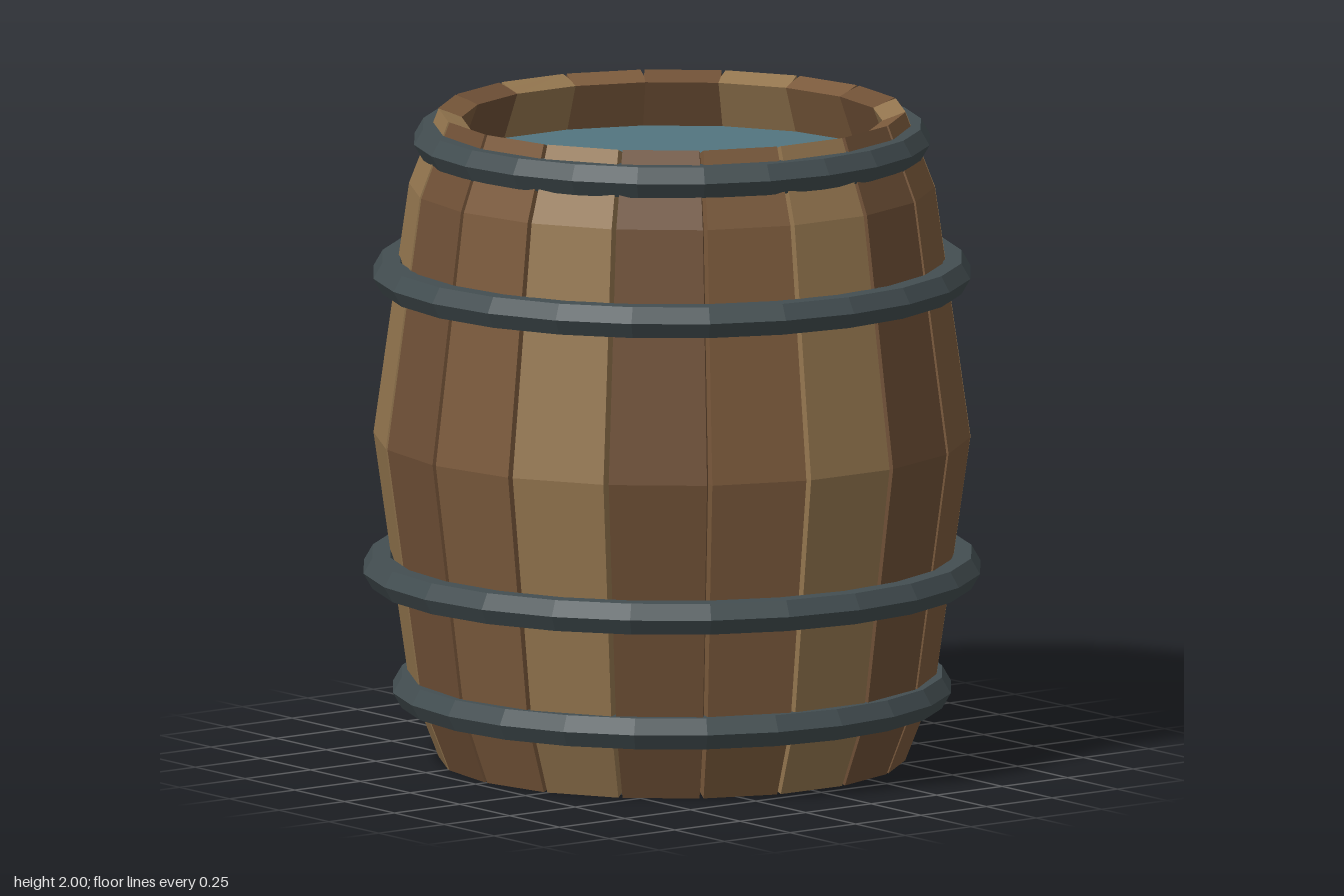
import * as THREE from 'three';

const STAVES = 18;
const HALF = Math.PI / STAVES;      // half the angle of one stave
const GAP = 0.009;                  // half the angle of the groove between staves

// Stave levels from bottom to top: outer radius, outer y, inner radius, inner y
const LOWER = [
  [0.71, 0, 0.64, 0.027],
  [0.80, 0.23, 0.725, 0.25],
];
const LEVELS = [
  ...LOWER,
  [0.908, 1, 0.83, 1],
  ...LOWER.map(([ro, yo, ri, yi]) => [ro, 2 - yo, ri, 2 - yi]).reverse(),
];

const paint = (color, extra = {}) =>
  new THREE.MeshStandardMaterial({ color, flatShading: true, ...extra });

// One bowed plank: a six-cornered section swept through the levels, capped at both ends
function staveGeometry() {
  const point = (a, r, y) => [r * Math.sin(a), y, r * Math.cos(a)];
  const rings = LEVELS.map(([ro, yo, ri, yi]) => {
    const rm = (ro + ri) / 2, ym = (yo + yi) / 2;
    return [
      point(-HALF + GAP, ro, yo), point(HALF - GAP, ro, yo),
      point(HALF, rm, ym), point(HALF, ri, yi),
      point(-HALF, ri, yi), point(-HALF, rm, ym),
    ];
  });
  const pos = [];
  const tri = (a, b, c) => pos.push(...a, ...b, ...c);
  for (let k = 0; k < rings.length - 1; k++) {
    for (let i = 0; i < 6; i++) {
      const j = (i + 1) % 6, lo = rings[k], hi = rings[k + 1];
      tri(lo[i], lo[j], hi[j]);
      tri(lo[i], hi[j], hi[i]);
    }
  }
  const bottom = rings[0], top = rings[rings.length - 1];
  for (let i = 1; i < 5; i++) {
    tri(top[0], top[i], top[i + 1]);
    tri(bottom[0], bottom[i + 1], bottom[i]);
  }
  const g = new THREE.BufferGeometry();
  g.setAttribute('position', new THREE.Float32BufferAttribute(pos, 3));
  g.computeVertexNormals();
  return g;
}

export function createModel() {
  const barrel = new THREE.Group();
  barrel.name = 'barrel';

  // Wooden staves in three repeating tones
  const staves = new THREE.Group();
  staves.name = 'staves';
  const woods = [paint(0x7b5a3c), paint(0x94764f), paint(0x6f5036)];
  const plank = staveGeometry();
  for (let i = 0; i < STAVES; i++) {
    const stave = new THREE.Mesh(plank, woods[i % 3]);
    stave.name = 'stave';
    stave.rotation.y = HALF * (2 * i + 1);
    staves.add(stave);
  }
  barrel.add(staves);

  // Iron hoops with a hexagonal section: height, ring radius
  const hoops = new THREE.Group();
  hoops.name = 'hoops';
  const iron = paint(0x434e51);
  for (const [y, r] of [[0.22, 0.80], [0.59, 0.89], [1.5, 0.86], [1.91, 0.735]]) {
    const hoop = new THREE.Mesh(new THREE.TorusGeometry(r, 0.055, 6, 24), iron);
    hoop.name = 'hoop';
    hoop.rotation.x = -Math.PI / 2;
    hoop.position.y = y;
    hoops.add(hoop);
  }
  barrel.add(hoops);

  // Water surface just below the rim
  const water = new THREE.Mesh(
    new THREE.CircleGeometry(0.71, STAVES),
    paint(0x52757f, { side: THREE.DoubleSide })
  );
  water.name = 'water';
  water.rotation.set(-Math.PI / 2, 0, HALF);
  water.position.y = 1.83;
  barrel.add(water);

  return barrel;
}
